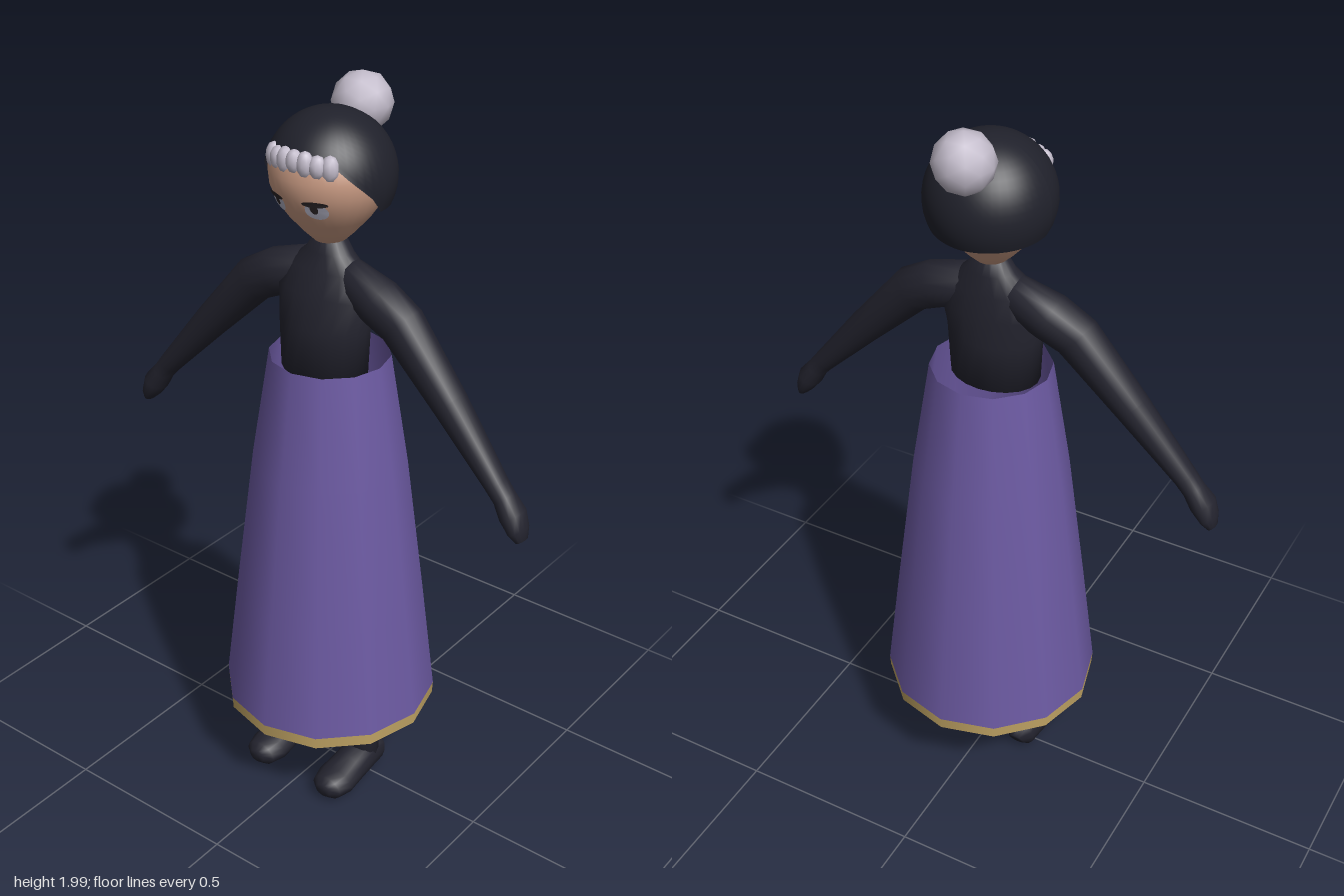
import * as THREE from 'three';

const mat = (name, color, side = THREE.FrontSide) => {
  const m = new THREE.MeshStandardMaterial({ color, side });
  m.name = name;
  return m;
};

// Closed smooth tube through rings [x, y, z, radius along u, radius across u]
function loft(rings, u, sides = 14) {
  const pos = [], index = [], n = rings.length;
  const centres = rings.map(r => new THREE.Vector3(r[0], r[1], r[2]));
  rings.forEach((r, i) => {
    const t = centres[Math.min(i + 1, n - 1)].clone().sub(centres[Math.max(i - 1, 0)]);
    t.addScaledVector(u, -t.dot(u)).normalize();
    const v = t.cross(u);
    for (let j = 0; j < sides; j++) {
      const a = (j / sides) * Math.PI * 2;
      const p = centres[i].clone()
        .addScaledVector(u, Math.cos(a) * r[3])
        .addScaledVector(v, Math.sin(a) * r[4]);
      pos.push(p.x, p.y, p.z);
    }
  });
  for (let i = 0; i < n - 1; i++) {
    for (let j = 0; j < sides; j++) {
      const k = (j + 1) % sides, lo = i * sides, hi = lo + sides;
      index.push(lo + j, lo + k, hi + k, lo + j, hi + k, hi + j);
    }
  }
  // End caps
  const start = n * sides, last = start - sides;
  pos.push(...centres[0].toArray(), ...centres[n - 1].toArray());
  for (let j = 0; j < sides; j++) {
    const k = (j + 1) % sides;
    index.push(start, k, j, start + 1, last + j, last + k);
  }
  const g = new THREE.BufferGeometry();
  g.setAttribute('position', new THREE.Float32BufferAttribute(pos, 3));
  g.setIndex(index);
  g.computeVertexNormals();
  return g;
}

// Linear interpolation through [key, value] pairs
function lerpTable(table, x) {
  for (let i = 1; i < table.length; i++) {
    const [a, va] = table[i - 1], [b, vb] = table[i];
    if (x <= b) return va + (vb - va) * Math.max(0, (x - a) / (b - a));
  }
  return table[table.length - 1][1];
}

export function createModel() {
  const model = new THREE.Group();
  const black = mat('black cloth', 0x23232e);
  const hairMat = mat('dark hair', 0x20212b, THREE.DoubleSide);
  const purple = mat('purple cloth', 0x6c5aa2, THREE.DoubleSide);
  const gold = mat('gold lining', 0xc2a565, THREE.DoubleSide);
  const skin = mat('skin', 0xcb9c84);
  const pale = mat('pale flowers', 0xc3bccb);
  const eyeWhite = mat('eye white', 0xb4b4c6);
  const lashMat = mat('lash', 0x2a2426);
  const add = (name, geometry, material) => {
    const mesh = new THREE.Mesh(geometry, material);
    mesh.name = name;
    model.add(mesh);
    return mesh;
  };
  const X = new THREE.Vector3(1, 0, 0), Z = new THREE.Vector3(0, 0, 1);

  // Torso and neck
  add('torso', loft([
    [0, 1.27, 0.022, 0.12, 0.092], [0, 1.4, 0.02, 0.127, 0.092],
    [0, 1.48, 0.012, 0.142, 0.08], [0, 1.54, 0.003, 0.12, 0.062],
    [0, 1.585, 0, 0.065, 0.048], [0, 1.63, 0, 0.035, 0.035],
  ], X, 20), black);

  // Arms, legs and feet
  for (const [side, s] of [['left', 1], ['right', -1]]) {
    add(side + 'Arm', loft([
      [0.06, 1.525, 0.003, 0.05, 0.055], [0.16, 1.487, 0.008, 0.06, 0.062],
      [0.23, 1.45, 0.012, 0.056, 0.06], [0.38, 1.29, 0.02, 0.046, 0.046],
      [0.53, 1.122, 0.03, 0.033, 0.03], [0.555, 1.092, 0.03, 0.033, 0.028],
      [0.582, 1.055, 0.032, 0.04, 0.033], [0.6, 1.02, 0.033, 0.036, 0.024],
      [0.612, 0.995, 0.033, 0.022, 0.012],
    ].map(([x, ...r]) => [x * s, ...r]), Z), black);

    add(side + 'Leg', loft([
      [0.118 * s, 0.06, 0, 0.046, 0.046], [0.118 * s, 0.16, 0.002, 0.047, 0.047],
      [0.118 * s, 0.31, 0.003, 0.052, 0.05],
    ], X), black);

    add(side + 'Foot', loft([
      [0.118 * s, 0.055, -0.064, 0.022, 0.025], [0.118 * s, 0.065, -0.045, 0.045, 0.05],
      [0.118 * s, 0.068, 0.01, 0.05, 0.058], [0.119 * s, 0.058, 0.07, 0.053, 0.047],
      [0.12 * s, 0.051, 0.13, 0.058, 0.04], [0.12 * s, 0.05, 0.17, 0.047, 0.034],
      [0.12 * s, 0.05, 0.188, 0.024, 0.018],
    ], X), black);
  }

  // Twelve-sided skirt, hem band and recessed lining
  const ring = pts => new THREE.LatheGeometry(pts.map(p => new THREE.Vector2(...p)), 12);
  add('skirt', ring([[0.292, 0.288], [0.255, 0.6], [0.205, 1.0], [0.157, 1.305]]), purple);
  add('hem', ring([[0.29, 0.255], [0.292, 0.288]]), gold);
  const lining = add('skirtLining', new THREE.CircleGeometry(0.288, 12), gold);
  lining.rotation.x = Math.PI / 2;
  lining.position.y = 0.287;

  // Egg-shaped head
  const face = [[1.6, 0], [1.61, 0.035], [1.64, 0.066], [1.68, 0.102], [1.72, 0.13],
    [1.76, 0.146], [1.8, 0.15], [1.85, 0.14], [1.9, 0.095], [1.925, 0]];
  add('head', new THREE.LatheGeometry(face.map(([y, r]) => new THREE.Vector2(r, y)), 32), skin);

  // Hair cap: a sphere whose lower edge follows the hairline
  const hairline = [[0, 1.12], [0.7, 1.15], [1.0, 1.42], [1.3, 1.68], [1.55, 1.98], [Math.PI, 2.03]];
  const hair = new THREE.SphereGeometry(0.162, 48, 16, 0, Math.PI * 2, 0, 3);
  const hp = hair.attributes.position, huv = hair.attributes.uv;
  for (let i = 0; i < hp.count; i++) {
    const phi = Math.round(huv.getX(i) * 48) / 48 * Math.PI * 2;
    const a = Math.acos(THREE.MathUtils.clamp(Math.sin(phi), -1, 1));
    const jag = a > 0.6 && a < 1.6 ? 0.06 * Math.sin(a * 24) : 0;
    const theta = (1 - huv.getY(i)) * (lerpTable(hairline, a) + jag);
    hp.setXYZ(i, -0.162 * Math.sin(theta) * Math.cos(phi), 0.162 * Math.cos(theta),
      0.162 * Math.sin(theta) * Math.sin(phi));
  }
  hair.computeVertexNormals();
  add('hair', hair, hairMat).position.set(0, 1.78, -0.004);

  // Faceted bun ornament
  const bun = new THREE.IcosahedronGeometry(0.077, 1);
  add('bun', bun, pale).position.set(0, 1.924, -0.127);

  // Row of pale blossoms over the forehead
  for (let i = -3; i <= 3; i++) {
    const a = i * 0.215;
    const blossom = add('blossom', new THREE.IcosahedronGeometry(0.024, 1), pale);
    blossom.position.set(Math.sin(a) * 0.138, 1.847 - Math.abs(i) * 0.003, Math.cos(a) * 0.136 - 0.002);
    blossom.scale.set(0.95, i % 2 ? 1.4 : 1.25, 0.9);
    blossom.rotation.y = a;
  }

  // Thin eye patches laid on the curved face
  const patch = (name, x, y, rx, ry, lift, material) => {
    const g = new THREE.CircleGeometry(1, 16);
    const p = g.attributes.position;
    for (let i = 0; i < p.count; i++) {
      const px = x + p.getX(i) * rx, py = y + p.getY(i) * ry;
      p.setXYZ(i, px, py, Math.sqrt(lerpTable(face, py) ** 2 - px * px) + lift);
    }
    g.computeVertexNormals();
    add(name, g, material);
  };
  for (const s of [1, -1]) {
    patch('eye', 0.056 * s, 1.733, 0.026, 0.024, 0.003, eyeWhite);
    patch('iris', 0.054 * s, 1.739, 0.009, 0.013, 0.005, lashMat);
    patch('lash', 0.058 * s, 1.753, 0.03, 0.008, 0.006, lashMat);
  }
  return model;
}
